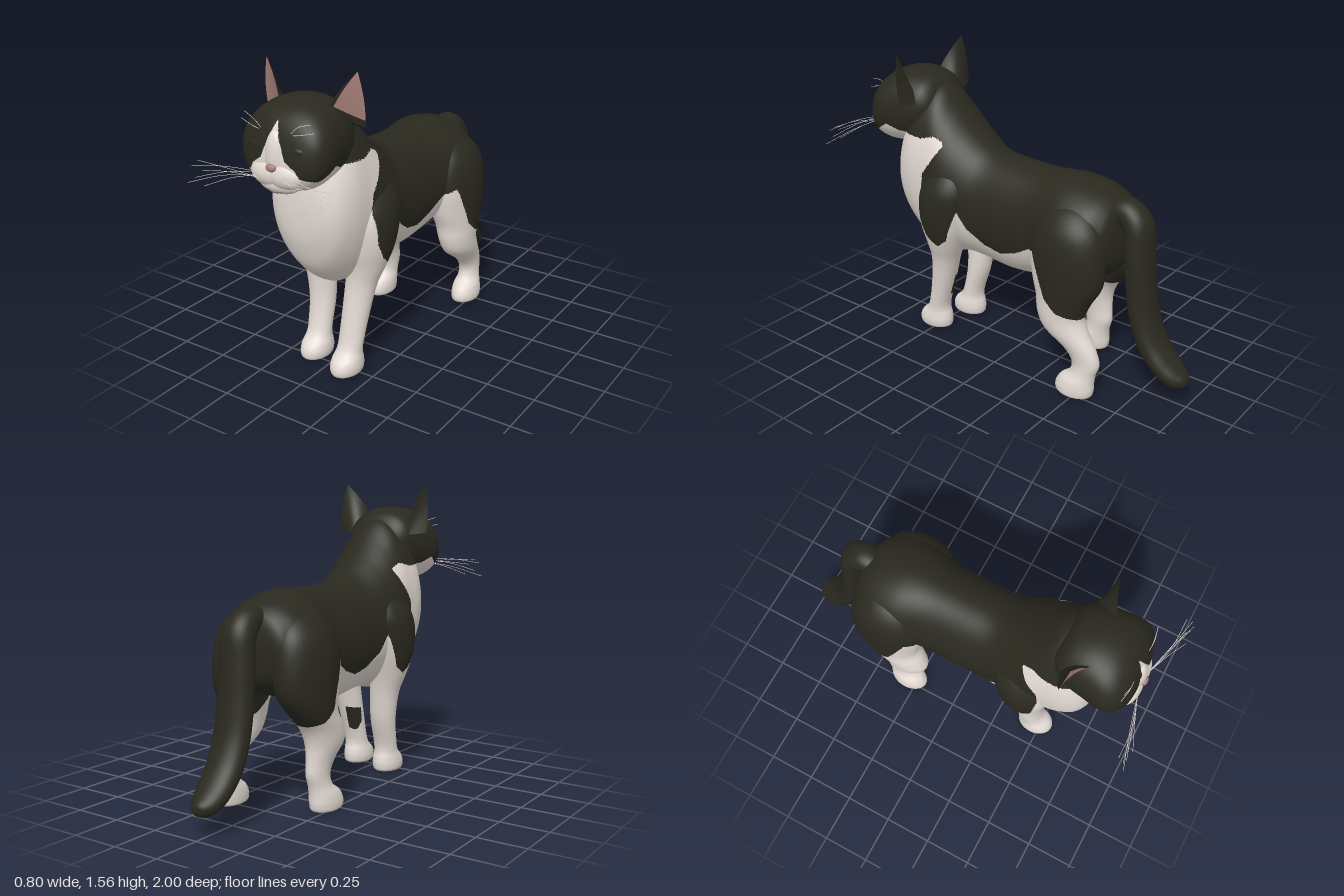
import * as THREE from 'three';
import { mergeVertices } from 'three/addons/utils/BufferGeometryUtils.js';

const mat = (name, color, side = THREE.FrontSide) =>
  Object.assign(new THREE.MeshStandardMaterial({ color, side }), { name });
const white = mat('white fur', 0xe2d9d2);
const black = mat('black fur', 0x2a291f, THREE.DoubleSide);
const skinPink = mat('skin pink', 0xa67f78, THREE.DoubleSide);
const mouthGrey = mat('mouth grey', 0x5a524c);
const coat = [white, black, skinPink];

// Outline of the black coat seen from the side, as [z, y]
const blackCoat = [
  [0.8, 1.12], [0.73, 1.165], [0.66, 1.135], [0.5, 1.13], [0.42, 1.15], [0.36, 1.12], [0.4, 1.05],
  [0.47, 0.95], [0.485, 0.85], [0.47, 0.7], [0.43, 0.62], [0.37, 0.57], [0.32, 0.61], [0.25, 0.79],
  [0.2, 0.7], [0.1, 0.635], [0, 0.615], [-0.1, 0.65], [-0.2, 0.71], [-0.26, 0.74], [-0.3, 0.64],
  [-0.35, 0.52], [-0.42, 0.46], [-0.52, 0.43], [-0.8, 0.43], [-0.8, 1.6], [0.8, 1.6]];
// Upper edge of the white blaze on the face, as [|x|, y]
const blaze = [[0, 1.37], [0.03, 1.29], [0.05, 1.24], [0.065, 1.2], [0.115, 1.165], [0.135, 1.13],
  [0.19, 1.112], [0.24, 1.15]];
// Small dark patch on the inner back of the left front leg, as [z, y]
const legPatch = [[0.34, 0.34], [0.44, 0.33], [0.45, 0.25], [0.43, 0.2], [0.38, 0.23]];

function inside(poly, a, b) {
  let hit = false;
  poly.forEach(([x1, y1], i) => {
    const [x2, y2] = poly[(i + 1) % poly.length];
    if ((y1 > b) !== (y2 > b) && a < x1 + ((b - y1) / (y2 - y1)) * (x2 - x1)) hit = !hit;
  });
  return hit;
}

function blazeTop(x) {
  for (let i = 1; i < blaze.length; i++) {
    const [x1, y1] = blaze[i - 1], [x2, y2] = blaze[i];
    if (x <= x2) return y1 + ((x - x1) / (x2 - x1)) * (y2 - y1);
  }
  return 1.15;
}

// Index into coat for a point of the surface
function furAt([x, y, z]) {
  if (y < 0.004) return 2;
  if (x > 0 && x < 0.112 && inside(legPatch, z, y)) return 1;
  return (z > 0.8 ? y > blazeTop(Math.abs(x)) : inside(blackCoat, z, y)) ? 1 : 0;
}

// One group per coat colour; triangles across a colour edge are split to keep it crisp
function paint(geo) {
  const { position: p, normal: n } = geo.attributes, buckets = [[], [], []];
  const half = (a, b) => a.map((c, k) => (c + b[k]) / 2);
  const place = (a, b, c, depth) => {
    const [m, m2, m3] = [a, b, c].map(furAt);
    if ((m === m2 && m === m3) || depth === 0) {
      buckets[furAt(a.map((v, k) => (v + b[k] + c[k]) / 3))].push(a, b, c);
      return;
    }
    const ab = half(a, b), bc = half(b, c), ca = half(c, a);
    [[a, ab, ca], [ab, b, bc], [ca, bc, c], [ab, bc, ca]].forEach((t) => place(...t, depth - 1));
  };
  const vertex = (i) => [p.getX(i), p.getY(i), p.getZ(i), n.getX(i), n.getY(i), n.getZ(i)];
  for (let i = 0; i < geo.index.count; i += 3)
    place(...[0, 1, 2].map((k) => vertex(geo.index.getX(i + k))), 2);
  const all = buckets.flat(), out = new THREE.BufferGeometry();
  out.setAttribute('position', new THREE.Float32BufferAttribute(all.flatMap((v) => v.slice(0, 3)), 3));
  out.setAttribute('normal', new THREE.Float32BufferAttribute(all.flatMap((v) => v.slice(3)), 3));
  out.normalizeNormals();
  let start = 0;
  buckets.forEach((b, m) => {
    if (b.length) out.addGroup(start, b.length, m);
    start += b.length;
  });
  return out;
}

// Smooth surface from f(u, v) -> [x, y, z]; closed forms are turned to face outwards
function surface(f, nu, nv) {
  const pos = [], index = [];
  for (let j = 0; j <= nv; j++) for (let i = 0; i <= nu; i++) pos.push(...f(i / nu, j / nv));
  for (let j = 0; j < nv; j++) for (let i = 0; i < nu; i++) {
    const a = j * (nu + 1) + i, b = a + nu + 1;
    index.push(a, a + 1, b, a + 1, b + 1, b);
  }
  let geo = new THREE.BufferGeometry();
  geo.setAttribute('position', new THREE.Float32BufferAttribute(pos, 3));
  geo.setIndex(index);
  geo = mergeVertices(geo, 1e-5);
  const p = geo.attributes.position, tris = [];
  const A = new THREE.Vector3(), B = new THREE.Vector3(), C = new THREE.Vector3();
  let volume = 0;
  for (let i = 0; i < geo.index.count; i += 3) {
    const [a, b, c] = [0, 1, 2].map((k) => geo.index.getX(i + k));
    if (a === b || b === c || a === c) continue;
    tris.push([a, b, c]);
    volume += A.fromBufferAttribute(p, a).dot(B.fromBufferAttribute(p, b).cross(C.fromBufferAttribute(p, c)));
  }
  geo.setIndex(tris.flatMap(([a, b, c]) => (volume < 0 ? [a, c, b] : [a, b, c])));
  geo.computeVertexNormals();
  return geo;
}

// Loft through rows [x, y, z, width radius, depth radius, tilt of the depth axis in degrees]
function loft(rows, around, steps, power = 1) {
  const spline = new THREE.CubicInterpolant(rows.map((_, i) => i), rows.flat(), 6, new Float32Array(6));
  const bend = (t) => Math.sign(t) * Math.abs(t) ** power;
  return surface((u, v) => {
    const [x, y, z, rx, rn, deg] = spline.evaluate(v * (rows.length - 1));
    const th = u * Math.PI * 2, a = THREE.MathUtils.degToRad(deg);
    const c = bend(Math.cos(th)) * Math.max(rx, 0), s = bend(Math.sin(th)) * Math.max(rn, 0);
    return [x + c, y + s * Math.sin(a), z + s * Math.cos(a)];
  }, around, (rows.length - 1) * steps);
}

// Upright section from [z, bottom, top, half width]
const upright = ([z, lo, hi, w]) => [0, (lo + hi) / 2, z, w, (hi - lo) / 2, 90];

const torsoRows = [
  [0.727, 0.9, 0.9, 0], [0.722, 0.8, 1.0, 0.08], [0.705, 0.71, 1.09, 0.145], [0.66, 0.6, 1.22, 0.2],
  [0.58, 0.51, 1.36, 0.232], [0.48, 0.455, 1.365, 0.24], [0.38, 0.465, 1.262, 0.252], [0.28, 0.488, 1.168, 0.24],
  [0.16, 0.485, 1.09, 0.222], [0, 0.47, 1.068, 0.222], [-0.18, 0.49, 1.063, 0.225], [-0.35, 0.54, 1.07, 0.26],
  [-0.48, 0.57, 1.045, 0.255], [-0.56, 0.61, 1.01, 0.21], [-0.605, 0.68, 0.95, 0.15], [-0.625, 0.82, 0.82, 0]];
const headRows = [
  [0.47, 1.26, 1.26, 0], [0.485, 1.18, 1.34, 0.12], [0.53, 1.1, 1.405, 0.18], [0.6, 1.05, 1.432, 0.208],
  [0.68, 1.035, 1.438, 0.222], [0.76, 1.03, 1.422, 0.233], [0.82, 1.04, 1.385, 0.22], [0.858, 1.06, 1.33, 0.18],
  [0.882, 1.09, 1.25, 0.115], [0.892, 1.17, 1.17, 0]];
const tailRows = [
  [0, 0.92, -0.5, 0.05, 0.05, 90], [0, 0.95, -0.56, 0.07, 0.06, 95], [0, 0.945, -0.63, 0.077, 0.07, 115],
  [0, 0.88, -0.685, 0.087, 0.075, 150], [0, 0.75, -0.7, 0.095, 0.07, 172], [0, 0.58, -0.715, 0.097, 0.068, 172],
  [0, 0.42, -0.745, 0.098, 0.066, 163], [0, 0.29, -0.8, 0.098, 0.065, 143], [0, 0.2, -0.875, 0.093, 0.06, 125],
  [0, 0.15, -0.94, 0.075, 0.052, 112], [0, 0.135, -0.985, 0.04, 0.032, 105], [0, 0.13, -1, 0, 0, 105]];
// Legs from shoulder or hip to sole, as [y, x, z, width radius, depth radius]
const frontLegRows = [
  [1.03, 0.14, 0.36, 0, 0], [0.97, 0.15, 0.362, 0.08, 0.11], [0.88, 0.165, 0.365, 0.12, 0.145],
  [0.78, 0.17, 0.38, 0.127, 0.15], [0.66, 0.165, 0.39, 0.118, 0.13], [0.55, 0.15, 0.4, 0.098, 0.098],
  [0.45, 0.132, 0.418, 0.08, 0.076], [0.3, 0.12, 0.45, 0.07, 0.064], [0.17, 0.115, 0.483, 0.065, 0.056],
  [0.115, 0.113, 0.498, 0.065, 0.064], [0.075, 0.112, 0.514, 0.073, 0.09], [0.035, 0.112, 0.52, 0.076, 0.1],
  [0.003, 0.112, 0.52, 0.062, 0.085], [0, 0.112, 0.52, 0, 0]];
const hindLegRows = [
  [1.0, 0.13, -0.4, 0, 0], [0.96, 0.14, -0.402, 0.08, 0.11], [0.87, 0.165, -0.405, 0.125, 0.18],
  [0.74, 0.18, -0.405, 0.133, 0.205], [0.6, 0.187, -0.41, 0.123, 0.192], [0.5, 0.2, -0.4, 0.105, 0.15],
  [0.42, 0.208, -0.392, 0.093, 0.131], [0.34, 0.211, -0.425, 0.082, 0.125], [0.26, 0.21, -0.505, 0.06, 0.092],
  [0.19, 0.208, -0.542, 0.052, 0.076], [0.13, 0.212, -0.53, 0.054, 0.071], [0.085, 0.217, -0.5, 0.067, 0.095],
  [0.035, 0.22, -0.488, 0.071, 0.106], [0.003, 0.22, -0.488, 0.06, 0.088], [0, 0.22, -0.488, 0, 0]];

export function createModel() {
  const cat = new THREE.Group();
  cat.name = 'cat';
  const add = (name, geo, material) => {
    const mesh = new THREE.Mesh(geo, material);
    mesh.name = name;
    cat.add(mesh);
  };
  const blob = ([x, y, z], [rx, ry, rz]) =>
    new THREE.SphereGeometry(1, 36, 24).scale(rx, ry, rz).translate(x, y, z);
  const strand = (points, r) => new THREE.TubeGeometry(
    new THREE.CatmullRomCurve3(points.map((p) => new THREE.Vector3(...p))), 10, r, 4);

  add('torso', paint(loft(torsoRows.map(upright), 72, 7)), coat);
  add('head', paint(loft(headRows.map(upright), 72, 7, 0.9)), coat);
  add('tail', loft(tailRows, 32, 6), black);

  // Face
  add('noseBridge', paint(blob([0, 1.205, 0.858], [0.055, 0.12, 0.043])), coat);
  add('nose', blob([0, 1.165, 0.9], [0.027, 0.019, 0.016]), skinPink);
  add('chin', blob([0, 1.08, 0.842], [0.11, 0.048, 0.052]), white);
  add('mouth', strand([[-0.045, 1.055, 0.881], [0, 1.046, 0.885], [0.045, 1.055, 0.881]], 0.002), mouthGrey);

  for (const s of [1, -1]) {
    const side = s > 0 ? 'left' : 'right';
    add(side + 'Muzzle', paint(blob([s * 0.04, 1.125, 0.855], [0.1, 0.065, 0.053])), coat);
    add(side + 'Eyelid', blob([s * 0.11, 1.245, 0.842], [0.055, 0.032, 0.035]), black);

    // Whiskers and brow hairs
    [[0.39, 1.12, 0.98], [0.4, 1.045, 0.998], [0.38, 1.14, 0.95], [0.36, 1.075, 0.99], [0.3, 1.05, 0.998],
      [0.33, 1.11, 0.975]].forEach(([x, y, z], i) => {
      const y0 = 1.135 - (i % 3) * 0.014;
      add(side + 'Whisker', strand([[s * 0.06, y0, 0.9], [s * x * 0.6, (y0 + y) / 2 + 0.012, 0.945],
        [s * x, y, z]], 0.0012), white);
    });
    for (const [x, y] of [[0.18, 1.375], [0.2, 1.34]])
      add(side + 'BrowHair', strand([[s * 0.07, 1.31, 0.855], [s * 0.12, y - 0.02, 0.858], [s * x, y, 0.845]],
        0.0015), white);

    // Ear: curved back shell, pink inner face with dark lower and inner rims, and a closing base
    const ear = (depth) => (u, v) => {
      const b = depth * Math.sin(Math.PI * u) * (1 - v);
      const base = [0.13 + 0.142 * u - 0.55 * b, 1.385 - 0.08 * u - 0.5 * b, 0.665 - 0.09 * u - 0.83 * b];
      const tip = [0.25, 1.56, 0.6];
      const p = base.map((c, k) => c + (tip[k] - c) * v);
      return [s * (p[0] + 0.012 * Math.sin(Math.PI * v) * (2 * u - 1)), p[1], p[2]];
    };
    const back = ear(0.085), front = ear(0.02);
    const patch = (u0, u1, v0, v1) =>
      surface((u, v) => front(u0 + (u1 - u0) * u, v0 + (v1 - v0) * v), 16, 12);
    add(side + 'EarBack', surface(back, 20, 14), black);
    add(side + 'EarInner', patch(0.1, 1, 0.13, 1), skinPink);
    add(side + 'EarInnerRim', patch(0, 0.1, 0.13, 1), black);
    add(side + 'EarLowerRim', patch(0, 1, 0, 0.13), black);
    add(side + 'EarBase', surface((u, v) => {
      const a = front(u, 0), b = back(u, 0);
      return a.map((c, k) => c + (b[k] - c) * v);
    }, 20, 2), black);

    // Legs: the right front leg stands a little back, the right hind leg steps forward
    const leg = (rows, step, top) => paint(loft(rows.map(([y, x, z, rx, rz]) =>
      [s * x, y, z + (s < 0 ? step * THREE.MathUtils.smoothstep(top - y, 0, 0.38) : 0), rx, rz, 0]), 40, 5));
    add(side + 'FrontLeg', leg(frontLegRows, -0.055, 0.65), coat);
    add(side + 'HindLeg', leg(hindLegRows, 0.19, 0.57), coat);
  }
  return cat;
}
